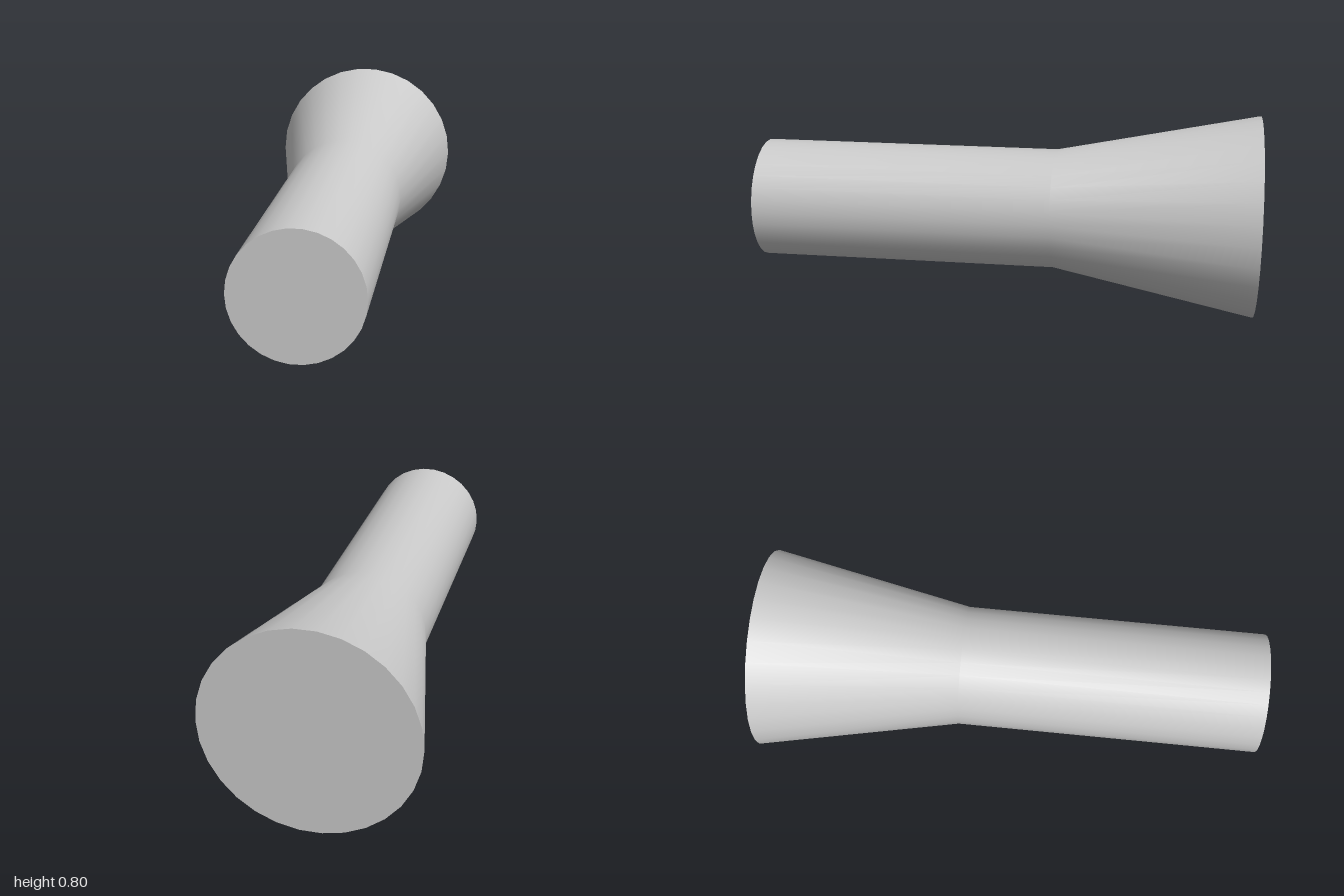
import * as THREE from 'three';

const SIDES = 30;
const R_TUBE = 0.24, R_FLARE = 0.4;
const Z_BACK = -1, Z_NECK = -0.2, Z_FRONT = 1;

export function createModel() {
  const group = new THREE.Group();
  group.name = 'flaredTube';
  const material = new THREE.MeshStandardMaterial({ color: 0xcccccc });

  const add = (name, geometry) => {
    const mesh = new THREE.Mesh(geometry, material);
    mesh.name = name;
    group.add(mesh);
    return mesh;
  };

  // Wall: flared back cone running smoothly into the straight tube, axis along z
  const profile = [
    new THREE.Vector2(R_FLARE, Z_BACK),
    new THREE.Vector2(R_TUBE, Z_NECK),
    new THREE.Vector2(R_TUBE, Z_FRONT),
  ];
  add('flaredWall', new THREE.LatheGeometry(profile, SIDES, Math.PI / 2).rotateX(Math.PI / 2));

  // Flat ends
  add('frontCap', new THREE.CircleGeometry(R_TUBE, SIDES)).position.z = Z_FRONT;
  add('backCap', new THREE.CircleGeometry(R_FLARE, SIDES).rotateY(Math.PI)).position.z = Z_BACK;

  // Rest the flare's lowest flat side on the ground
  const lift = R_FLARE * Math.cos(Math.PI / SIDES);
  group.children.forEach((mesh) => { mesh.position.y = lift; });
  return group;
}
